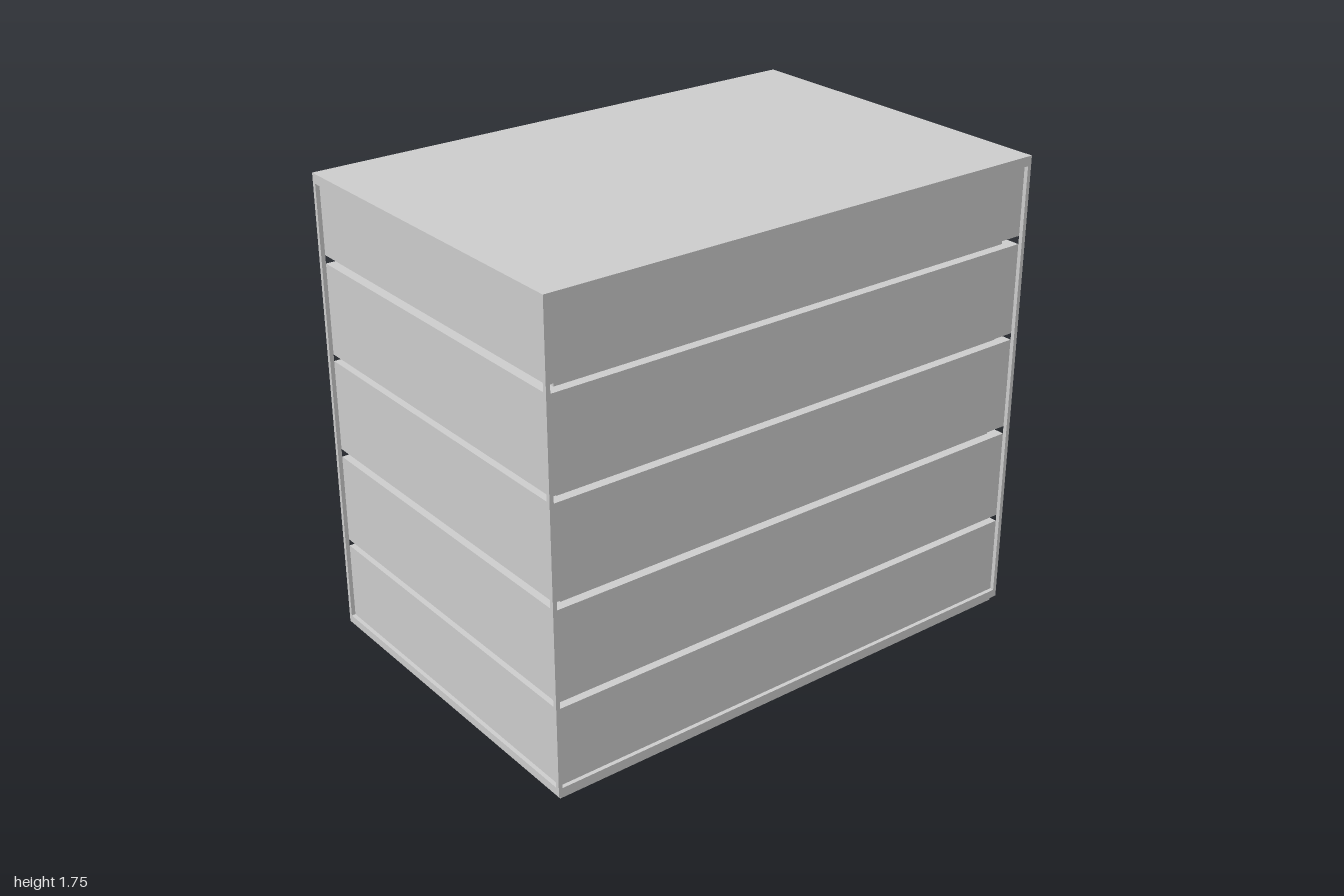
import * as THREE from 'three';

const HX = 0.67, HZ = 1, TOP = 1.75, BASE = 0.02; // outer frame
const BAR = 0.015, BEAM = 0.03;
const DOOR = [-0.88, -0.54]; // doorway along z, on the -x side
const DOOR_TOP = 0.7;

export function createModel() {
  const model = new THREE.Group();
  const material = new THREE.MeshStandardMaterial({ color: 0xcccccc, flatShading: true });

  function add(name, geometry) {
    const mesh = new THREE.Mesh(geometry, material);
    mesh.name = name;
    model.add(mesh);
  }

  // Box given by its limits on each axis
  function box(name, [x0, x1], [y0, y1], [z0, z1]) {
    const g = new THREE.BoxGeometry(x1 - x0, y1 - y0, z1 - z0);
    g.translate((x0 + x1) / 2, (y0 + y1) / 2, (z0 + z1) / 2);
    add(name, g);
  }

  // Storey with a lobby reached through the doorway, extruded from its plan
  function lobbyStorey(name, hx, hz, y0, y1) {
    const plan = new THREE.Shape([
      [-hx, -hz], [hx, -hz], [hx, hz], [-hx, hz],
      [-hx, DOOR[1]], [-0.6, DOOR[1]], [-0.6, 0.6], [-0.04, 0.6],
      [-0.04, DOOR[0]], [-hx, DOOR[0]],
    ].map(([x, z]) => new THREE.Vector2(x, z)));
    const g = new THREE.ExtrudeGeometry(plan, { depth: y1 - y0, bevelEnabled: false });
    g.rotateX(Math.PI / 2);
    g.translate(0, y1, 0);
    add(name, g);
  }

  // Plinth and roof
  box('plinth', [-0.655, 0.655], [0, BASE], [-0.985, 0.985]);
  box('roof', [-HX, HX], [TOP - 0.035, TOP], [-HZ, HZ]);

  // Storeys, separated by recessed floor slabs
  const storeys = [[BASE, 0.34], [0.365, 0.7], [0.73, 1.07], [1.095, 1.43], [1.46, 1.715]];
  storeys.forEach(([y0, y1], i) => {
    const px = HX - BAR, pz = HZ - BAR;
    if (i < 2) lobbyStorey('storey', px, pz, y0, y1);
    else box('storey', [-px, px], [y0, y1], [-pz, pz]);
    if (i === 4) return;
    const next = storeys[i + 1][0];
    if (i === 0) lobbyStorey('floorSlab', 0.62, 0.94, y1, next);
    else box('floorSlab', [-0.62, 0.62], [y1, next], [-0.94, 0.94]);
  });

  // Corner posts and bottom beams of the outer frame
  const beamY = [BASE, BASE + BEAM];
  for (const s of [-1, 1]) {
    const zs = s < 0 ? [-HZ, -HZ + BAR] : [HZ - BAR, HZ];
    box('endBeam', [-HX, HX], beamY, zs);
    box('cornerPost', [-HX, -HX + BAR], [BASE, TOP - 0.03], zs);
    box('cornerPost', [HX - BAR, HX], [BASE, TOP - 0.03], zs);
  }
  box('sideBeam', [HX - BAR, HX], beamY, [-HZ, HZ]);
  box('sideBeam', [-HX, -HX + BAR], beamY, [-HZ, DOOR[0]]);
  box('sideBeam', [-HX, -HX + BAR], beamY, [DOOR[1], HZ]);

  // Doorway jambs
  box('doorJamb', [-0.66, -0.6], [BASE, DOOR_TOP], [DOOR[1] - 0.005, DOOR[1] + 0.015]);
  box('doorJamb', [-0.66, -0.6], [BASE, DOOR_TOP], [DOOR[0] - 0.015, DOOR[0] + 0.005]);

  return model;
}
